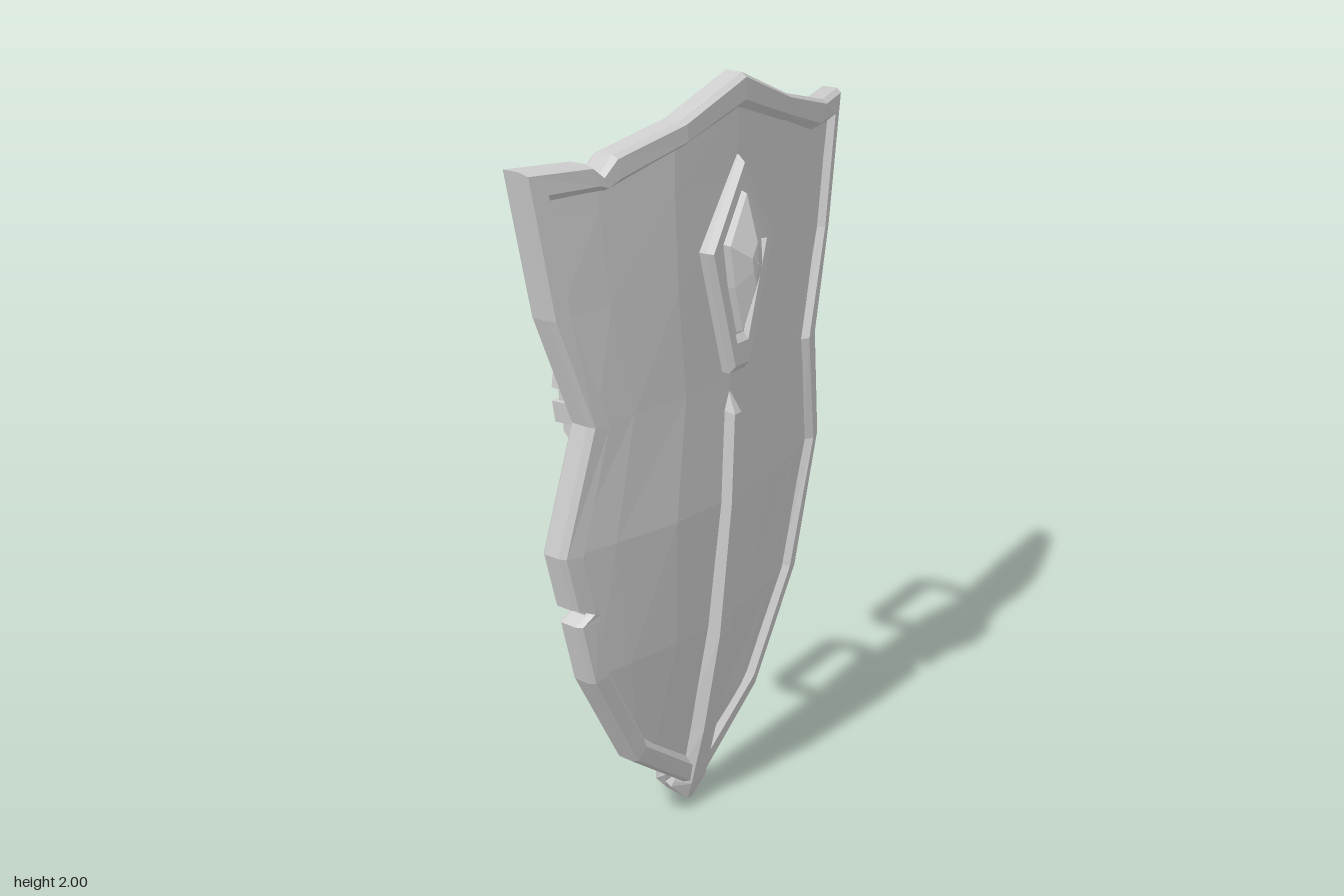
import * as THREE from 'three';

const material = new THREE.MeshStandardMaterial({ color: 0xcccccc, flatShading: true });

// Piecewise linear lookup in [key, value] pairs
function lookup(table, k) {
  let i = 1;
  while (i < table.length - 1 && k > table[i][0]) i++;
  const [a, va] = table[i - 1], [b, vb] = table[i];
  return va + (vb - va) * THREE.MathUtils.clamp((k - a) / (b - a), 0, 1);
}

// Curved front of the shield: ridge height along y minus fall-off to the sides
const RIDGE = [[0, 0.01], [0.24, 0.05], [0.55, 0.1], [0.93, 0.135], [1.25, 0.14], [2, 0.16]];
const DROP = [[0, 0], [0.2, 0.013], [0.44, 0.07], [0.6, 0.13]];
const surfaceZ = (x, y) => lookup(RIDGE, y) - lookup(DROP, Math.abs(x));

// Joins equal closed cross-sections into a faceted skin
function loft(name, sections, ring = false) {
  const pos = [];
  const n = sections.length, m = sections[0].length;
  for (let i = 0; i < (ring ? n : n - 1); i++) {
    const s = sections[i], t = sections[(i + 1) % n];
    for (let j = 0; j < m; j++) {
      const k = (j + 1) % m;
      pos.push(...s[j], ...s[k], ...t[k], ...s[j], ...t[k], ...t[j]);
    }
  }
  const geo = new THREE.BufferGeometry();
  geo.setAttribute('position', new THREE.Float32BufferAttribute(pos, 3));
  geo.computeVertexNormals();
  return named(name, geo);
}

function named(name, geo) {
  const mesh = new THREE.Mesh(geo, material);
  mesh.name = name;
  return mesh;
}

// Raised border: pairs of outer and inner points, with two chips on one side
function makeRim() {
  const half = [
    [0, 2, 0, 1.915], [0.2, 1.92, 0.19, 1.855], [0.45, 1.86, 0.39, 1.79],
    [0.6, 1.86, 0.525, 1.785], [0.54, 1.52, 0.48, 1.52], [0.45, 1.25, 0.385, 1.24],
    [0.525, 0.935, 0.455, 0.93], [0.43, 0.56, 0.37, 0.58], [0.26, 0.25, 0.225, 0.31],
    [0.04, 0.075, 0.04, 0.165],
  ];
  const mirror = half.slice(1).reverse().map(([a, b, c, d]) => [-a, b, -c, d]);
  const sideChip = [[-0.475, 0.735, -0.41, 0.74], [-0.44, 0.765, -0.412, 0.755],
    [-0.487, 0.785, -0.418, 0.785]];
  const topChip = [[-0.45, 1.858, -0.42, 1.79], [-0.42, 1.83, -0.4, 1.79],
    [-0.385, 1.87, -0.37, 1.797]];
  mirror.splice(7, 1, ...topChip);
  mirror.splice(3, 0, ...sideChip);
  const profile = [[0, -0.015], [0.12, 0], [0.72, 0], [1, -0.025],
    [1, -0.045], [0.75, -0.07], [0.1, -0.07], [0, -0.06]];
  const sections = [...half, [0, 0.05, 0, 0.14], ...mirror].map(([ox, oy, ix, iy]) =>
    profile.map(([t, dz]) => {
      const x = ox + (ix - ox) * t, y = oy + (iy - oy) * t;
      return [x, y, surfaceZ(x, y) + dz];
    }));
  return loft('rim', sections, true);
}

// Curved plate that fills the rim
function makePanel() {
  const width = [[0.1, 0.04], [0.28, 0.24], [0.57, 0.4], [0.93, 0.49], [1.25, 0.42], [1.52, 0.51], [1.8, 0.56]];
  const top = [[0, 1.96], [0.2, 1.89], [0.42, 1.825], [0.56, 1.82]];
  const columns = [1, 0.75, 0.38, 0, -0.38, -0.75, -1];
  const rows = [2, 1.75, 1.52, 1.25, 0.93, 0.57, 0.28, 0.1];
  const sections = rows.map((r) => {
    const point = (u, dz) => {
      const x = u * lookup(width, r);
      const y = r === 2 ? lookup(top, Math.abs(x)) : r;
      return [x, y, surfaceZ(x, y) + dz];
    };
    return [...columns.map((u) => point(u, -0.02)),
      ...columns.map((u) => point(-u, -0.045))];
  });
  return loft('panel', sections);
}

// Tapered spine that hooks under the lower tip
function makeSpine() {
  // base y, base z, base half width, crest y, crest z, crest half width
  const path = [
    [1.23, 0.1, 0.002, 1.23, 0.115, 0.001], [1.18, 0.1, 0.02, 1.17, 0.146, 0.013],
    [0.93, 0.09, 0.027, 0.93, 0.142, 0.017], [0.55, 0.055, 0.037, 0.55, 0.112, 0.023],
    [0.25, 0.01, 0.046, 0.25, 0.064, 0.028], [0.07, -0.02, 0.052, 0.07, 0.024, 0.03],
    [0.05, -0.03, 0.052, 0, -0.005, 0.01], [0.06, -0.05, 0.052, 0.015, -0.075, 0.018],
    [0.08, -0.05, 0.052, 0.04, -0.1, 0.032], [0.11, -0.04, 0.05, 0.1, -0.098, 0.034],
    [0.14, -0.03, 0.035, 0.16, -0.06, 0.02], [0.14, -0.02, 0.01, 0.15, -0.02, 0.01],
  ];
  return loft('spine', path.map(([by, bz, bw, ty, tz, tw]) =>
    [[bw, by, bz], [tw, ty, tz], [-tw, ty, tz], [-bw, by, bz]]));
}

// Nested outlines stepping inward: [scale, z]
function stepped(name, outline, cy, steps) {
  return loft(name, steps.map(([s, z]) =>
    outline.map(([x, y]) => [x * s, cy + (y - cy) * s, z])));
}

function makeEmblem() {
  const group = new THREE.Group();
  group.name = 'emblem';
  const kite = [[0, 1.81], [-0.125, 1.6], [-0.03, 1.28], [0.03, 1.28], [0.125, 1.6]];
  const stone = [[0, 1.73], [-0.065, 1.61], [-0.045, 1.5], [-0.01, 1.38], [0.055, 1.5], [0.06, 1.62]];
  group.add(
    stepped('gemFrame', kite, 1.58, [[1, 0.1], [1, 0.14], [0.93, 0.158], [0.74, 0.158], [0.68, 0.145], [0.01, 0.145]]),
    stepped('gem', stone, 1.56, [[1, 0.14], [0.95, 0.165], [0.3, 0.198], [0.01, 0.2]]),
  );
  return group;
}

// Back plate, bent bar, feet and wrapped grip
function makeHandle(side) {
  const group = new THREE.Group();
  group.name = side > 0 ? 'leftHandle' : 'rightHandle';

  const w = 0.08, h = 0.285;
  const rect = new THREE.Shape([[-w, -h], [w, -h], [w, h], [-w, h]].map((p) => new THREE.Vector2(...p)));
  const plate = named('plate', new THREE.ExtrudeGeometry(rect,
    { depth: 0.012, bevelThickness: 0.012, bevelSize: 0.015, bevelSegments: 1 }));
  plate.position.set(side * 0.278, 1.33, 0.047);
  plate.rotation.set(-0.02, side * 0.23, 0);
  group.add(plate);

  const bar = new THREE.Shape([
    [-0.05, 1.535], [0.11, 1.535], [0.167, 1.49], [0.167, 1.14], [0.135, 1.105], [-0.05, 1.13],
    [-0.05, 1.165], [0.11, 1.142], [0.135, 1.165], [0.135, 1.475], [0.1, 1.505], [-0.05, 1.505],
  ].map((p) => new THREE.Vector2(...p)));
  const barGeo = new THREE.ExtrudeGeometry(bar, { depth: 0.034, bevelEnabled: false });
  barGeo.translate(0, 0, -0.017).rotateY(Math.PI / 2);
  const barMesh = named('bar', barGeo);
  barMesh.position.x = side * 0.275;
  group.add(barMesh);

  for (const y of [1.52, 1.147]) {
    const foot = named('foot', new THREE.BoxGeometry(0.05, 0.1, 0.03));
    foot.position.set(side * 0.275, y, 0.028);
    foot.rotation.y = side * 0.23;
    group.add(foot);
  }
  [1.445, 1.36, 1.275, 1.195].forEach((y, i) => {
    const wrap = named('gripWrap', new THREE.BoxGeometry(0.062, 0.055, 0.066));
    wrap.position.set(side * 0.275, y, -0.152);
    wrap.rotation.set(i % 2 ? -0.06 : 0.06, 0, i % 2 ? 0.1 : -0.1);
    group.add(wrap);
  });
  const core = named('gripCore', new THREE.BoxGeometry(0.045, 0.3, 0.044));
  core.position.set(side * 0.275, 1.32, -0.152);
  group.add(core);
  return group;
}

export function createModel() {
  const shield = new THREE.Group();
  shield.name = 'shield';
  shield.add(makeRim(), makePanel(), makeSpine(), makeEmblem(), makeHandle(1), makeHandle(-1));
  return shield;
}
